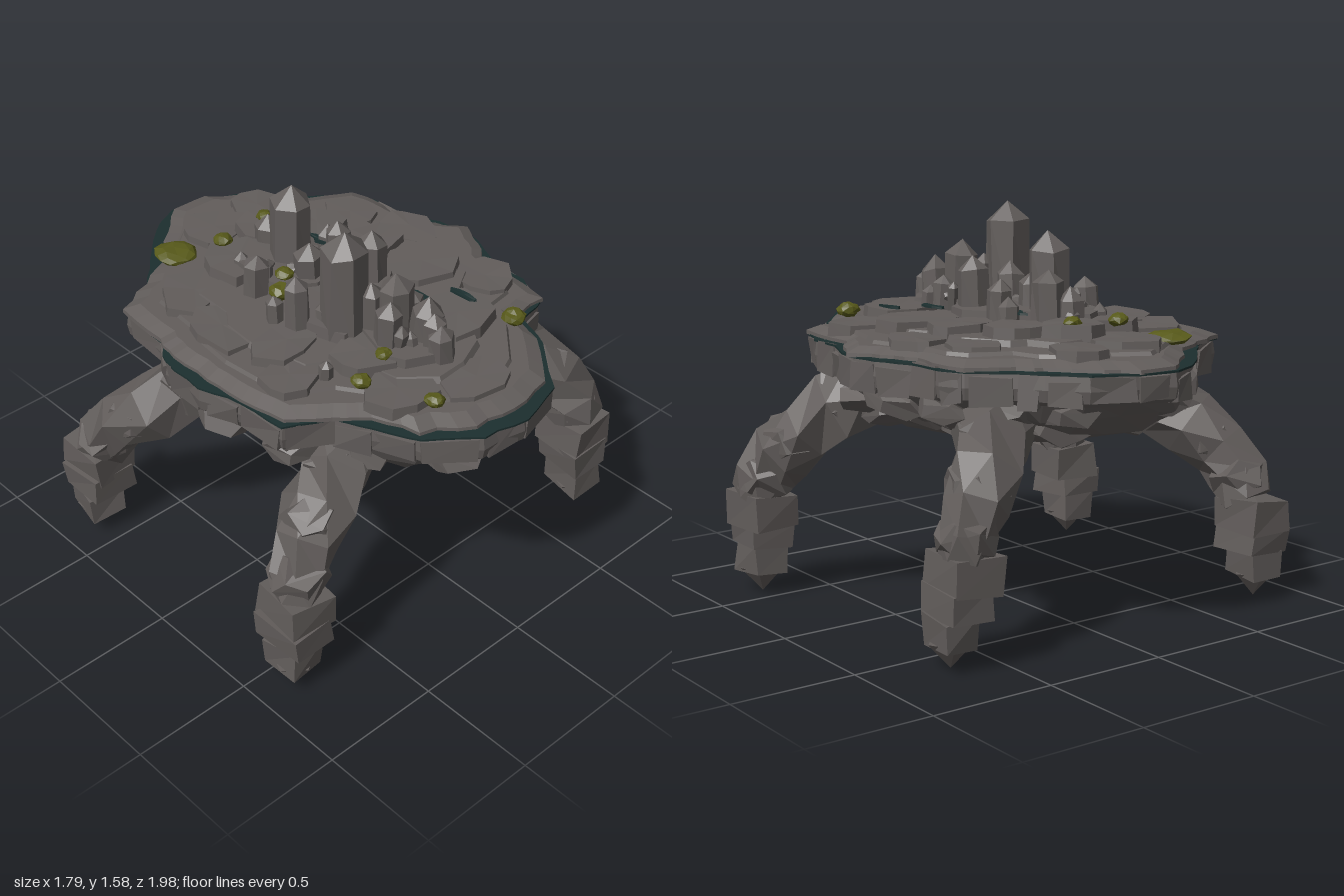
import * as THREE from 'three';

const mat = (color) => new THREE.MeshStandardMaterial({ color });
const V = (x, y, z) => new THREE.Vector3(x, y, z);

let seed = 7;
const rnd = (a = 0, b = 1) => {
  seed = (seed * 16807) % 2147483647;
  return a + (b - a) * (seed / 2147483647);
};

// Facet a geometry: every triangle gets its own normal
function facet(geo) {
  const g = geo.index ? geo.toNonIndexed() : geo;
  g.deleteAttribute('uv');
  g.computeVertexNormals();
  return g;
}

// Skin over rings of equal point count (counter-clockwise about the path), closed at both ends
function loft(rings) {
  const n = rings[0].length, pos = [];
  const tri = (...p) => p.forEach((v) => pos.push(v.x, v.y, v.z));
  const centre = (r) => r.reduce((s, p) => s.add(p), V(0, 0, 0)).divideScalar(n);
  const first = rings[0], last = rings[rings.length - 1];
  const c0 = centre(first), c1 = centre(last);
  for (let i = 0; i < n; i++) {
    const j = (i + 1) % n;
    for (let k = 0; k < rings.length - 1; k++) {
      const a = rings[k][i], b = rings[k][j], c = rings[k + 1][j], d = rings[k + 1][i];
      tri(a, b, d);
      tri(b, c, d);
    }
    tri(c0, first[j], first[i]);
    tri(c1, last[i], last[j]);
  }
  const g = new THREE.BufferGeometry();
  g.setAttribute('position', new THREE.Float32BufferAttribute(pos, 3));
  return facet(g);
}

// Push shared corners about by the same amount so the stone stays closed
function roughen(geo, amount) {
  const p = geo.attributes.position, moved = new Map();
  for (let i = 0; i < p.count; i++) {
    const key = [p.getX(i), p.getY(i), p.getZ(i)].map((v) => Math.round(v * 500) + 0).join();
    if (!moved.has(key)) moved.set(key, [0, 1, 2].map(() => rnd(-amount, amount)));
    const d = moved.get(key);
    p.setXYZ(i, p.getX(i) + d[0], p.getY(i) + d[1], p.getZ(i) + d[2]);
  }
  return facet(geo);
}

// Edge of the island as x, z and the share of bare moss there, from the back round by the left to the right
const EDGE = [
  [-0.08, -1, 0.02], [0.08, -0.97, 0], [0.24, -0.89, 0.05], [0.35, -0.77, 0.04], [0.42, -0.69, 0.05], [0.56, -0.56, 0],
  [0.61, -0.47, 0.03], [0.62, -0.31, 0.06], [0.69, -0.16, 0.05], [0.72, -0.04, 0], [0.69, 0.08, 0.03], [0.64, 0.21, 0.06],
  [0.63, 0.37, 0.04], [0.57, 0.52, 0], [0.43, 0.56, 0.06], [0.37, 0.72, 0.04], [0.19, 0.93, 0.03], [-0.02, 0.99, 0.05],
  [-0.21, 0.96, 0.06], [-0.39, 0.82, 0.04], [-0.47, 0.65, 0.06], [-0.54, 0.51, 0], [-0.71, 0.42, 0.04], [-0.72, 0.21, 0.01],
  [-0.78, 0.03, 0.05], [-0.77, -0.18, 0.05], [-0.7, -0.29, 0], [-0.68, -0.54, 0], [-0.51, -0.62, 0], [-0.39, -0.76, 0.06],
  [-0.23, -0.92, 0.06],
].reverse();

// Edge outline shrunk by s, with ragged variation, drawn back by the moss share where asked
function edgeRing(s, y, rough = 0, { yRough = 0, steps = 2, bare = 0 } = {}) {
  const ring = [];
  EDGE.forEach((a, i) => {
    const b = EDGE[(i + 1) % EDGE.length];
    for (let k = 0; k < steps; k++) {
      const t = k / steps, mix = (m) => a[m] + (b[m] - a[m]) * t;
      const f = s - bare * mix(2) + rnd(-rough, rough);
      ring.push(V(mix(0) * f, y + rnd(-yRough, yRough), mix(1) * f));
    }
  });
  return ring;
}
const raise = (ring, y, s = 1) => ring.map((p) => V(p.x * s, y, p.z * s));

export function createModel() {
  const root = new THREE.Group();
  const stone = mat(0x625d5b), darkMoss = mat(0x1c2f2f), moss = mat(0x585a1a);
  const group = (name) => {
    const g = new THREE.Group();
    g.name = name;
    root.add(g);
    return g;
  };
  const add = (parent, name, geo, material, at = [0, 0, 0], turn = [0, 0, 0]) => {
    const m = new THREE.Mesh(geo, material);
    m.name = name;
    m.position.set(...at);
    m.rotation.set(...turn);
    parent.add(m);
  };
  const boulder = (parent, at, sx, sy, sz) => {
    const g = new THREE.DodecahedronGeometry(1, 0).scale(sx, sy, sz);
    add(parent, 'boulder', roughen(g, 0.1 * Math.min(sx, sy, sz)), stone, at, [rnd(-0.4, 0.4), rnd(0, 6), rnd(-0.4, 0.4)]);
  };
  const block = (parent, name, at, w, h, d, turn, rough = 0.012) =>
    add(parent, name, roughen(new THREE.BoxGeometry(w, h, d), rough), stone, at, turn);

  // Rim of the island and stepped ground
  const island = group('island');
  const rim = edgeRing(0.985, 0.95, 0.012);
  add(island, 'rim', loft([raise(rim, 0.94, 0.97), raise(rim, 0.955, 0.99), raise(rim, 1.0), raise(rim, 1.055, 0.99)]), stone);
  const fringe = edgeRing(0.995, 1.055, 0.008, { steps: 3 });
  add(island, 'mossFringe', loft([raise(fringe, 1.055), raise(fringe, 1.063)]), darkMoss);
  const ground = edgeRing(1.004, 1.06, 0.012, { steps: 3, bare: 1.2 });
  add(island, 'groundStep', loft([ground, raise(ground, 1.076, 0.997), raise(ground, 1.098, 0.92)]), stone);
  [[0.85, 1.08, 1.112, 0.045], [0.65, 1.105, 1.135, 0.06]].forEach(([s, y0, y1, r]) => {
    const ring = edgeRing(s, y0, r, { steps: 1 });
    add(island, 'groundStep', loft([ring, raise(ring, y1, 0.97)]), stone);
  });

  // Masonry chunks along the rim
  EDGE.forEach(([x, z], i) => {
    const [x2, z2] = EDGE[(i + 1) % EDGE.length];
    const len = Math.hypot(x2 - x, z2 - z);
    block(island, 'rimBlock', [(x + x2) * 0.48, 0.995 + rnd(-0.015, 0.01), (z + z2) * 0.48],
      len * rnd(0.7, 1), rnd(0.09, 0.12), 0.05, [0, -Math.atan2(z2 - z, x2 - x), 0], 0.01);
  });

  // Craggy underside narrowing to a flat base
  const under = group('underside');
  add(under, 'underRock', loft([
    edgeRing(0.46, 0.725, 0.03, { yRough: 0.008, steps: 1 }), edgeRing(0.63, 0.765, 0.05, { yRough: 0.02, steps: 1 }),
    edgeRing(0.78, 0.815, 0.05, { yRough: 0.02, steps: 1 }), edgeRing(0.89, 0.88, 0.03, { yRough: 0.02, steps: 1 }),
    edgeRing(0.96, 0.96, 0.01, { steps: 1 })]), stone);
  [[0.8, 0.9, 15, 0.15], [0.66, 0.825, 12, 0.15], [0.5, 0.79, 9, 0.13]].forEach(([s, y, n, r]) => {
    for (let i = 0; i < n; i++) {
      const [x, z] = EDGE[Math.floor((i * EDGE.length) / n)];
      boulder(under, [x * s, y + rnd(-0.01, 0.01), z * s], r * rnd(0.85, 1.05), r * 0.5, r * rnd(0.85, 1.05));
    }
  });
  const spike = new THREE.ConeGeometry(0.17, 0.24, 5).rotateX(Math.PI).scale(0.8, 1, 1.2);
  add(under, 'hangingSpike', facet(spike), stone, [-0.03, 0.65, 0.13], [-0.1, 0.2, 0]);

  // Flat paving stones: x, z, half width, half depth, top height
  const paving = group('paving');
  const slab = (x, z, rx, rz, top, h, material, name, ragged = 0.18) => {
    const ring = [], n = 8;
    for (let i = 0; i < n; i++) {
      const a = ((i + rnd(-0.3, 0.3)) / n) * Math.PI * 2, f = rnd(1 - ragged, 1 + ragged);
      ring.push(V(x + Math.sin(a) * rx * f, top - h, z + Math.cos(a) * rz * f));
    }
    const upper = ring.map((p) => V(x + (p.x - x) * 0.95, top + rnd(-0.004, 0.004), z + (p.z - z) * 0.95));
    add(paving, name, loft([ring, upper]), material);
  };
  [[0.19, -0.37, 0.14, 0.12, 1.175], [0.27, -0.14, 0.14, 0.11, 1.165], [0.32, 0.09, 0.18, 0.14, 1.16],
    [0.16, 0.43, 0.16, 0.16, 1.155], [-0.52, -0.13, 0.13, 0.18, 1.13], [-0.42, 0.12, 0.15, 0.12, 1.15],
    [-0.1, -0.69, 0.15, 0.13, 1.14], [0.15, -0.7, 0.11, 0.13, 1.13], [-0.29, 0.6, 0.14, 0.13, 1.13],
    [0.4, -0.4, 0.12, 0.13, 1.13], [0.5, -0.15, 0.11, 0.13, 1.13], [0.47, 0.3, 0.12, 0.13, 1.13],
    [-0.02, 0.74, 0.16, 0.11, 1.12], [-0.53, 0.27, 0.13, 0.11, 1.13], [-0.44, -0.4, 0.15, 0.14, 1.13],
    [-0.2, -0.42, 0.17, 0.15, 1.175], [0.02, -0.5, 0.13, 0.11, 1.185], [-0.25, 0.38, 0.15, 0.13, 1.16],
  ].forEach(([x, z, rx, rz, top]) => slab(x, z, rx, rz, top, 0.06, stone, 'pavingStone'));
  [[-0.1, -0.22, 0.17, 0.22, 1.195], [-0.13, 0.1, 0.2, 0.2, 1.18], [-0.07, 0.42, 0.15, 0.2, 1.175], [0.07, -0.02, 0.11, 0.2, 1.19]]
    .forEach(([x, z, rx, rz, top]) => slab(x, z, rx, rz, top, 0.08, stone, 'ridgeStone', 0.2));
  // Dark moss in the joints
  [[0.14, 0.27, 0.025, 0.07, 1.168], [0.27, 0.38, 0.018, 0.07, 1.165], [0.1, 0.07, 0.035, 0.03, 1.2], [-0.02, 0.03, 0.05, 0.045, 1.2],
    [0.09, -0.25, 0.02, 0.05, 1.2], [-0.08, 0.17, 0.03, 0.04, 1.19]]
    .forEach(([x, z, rx, rz, top]) => slab(x, z, rx, rz, top, 0.009, darkMoss, 'jointMoss', 0.35));

  // Crystals: x, z, radius, tip height, lean
  const crystals = group('crystals');
  const crystal = (x, z, r, top, lean = 0.06) => {
    const h = top - 1.1, tip = Math.min(r * 0.85, h * 0.3);
    const pts = [[0, 0], [r * 1.02, 0], [r * 0.95, h - tip], [0, h]];
    const g = new THREE.LatheGeometry(pts.map(([a, b]) => new THREE.Vector2(a, b)), 6);
    add(crystals, 'crystal', roughen(g, r * 0.1), stone, [x, 1.1, z], [rnd(-lean, lean), rnd(0, 1), rnd(-lean, lean)]);
  };
  [[-0.2, 0.21, 0.09, 1.575, 0.01], [-0.06, -0.26, 0.088, 1.505, 0.02], [0.01, -0.34, 0.065, 1.37], [-0.07, 0.36, 0.068, 1.41],
    [-0.16, 0.4, 0.055, 1.35], [-0.03, 0.47, 0.07, 1.34], [-0.05, 0.58, 0.055, 1.28], [0.07, 0.06, 0.068, 1.39],
    [-0.32, 0.08, 0.05, 1.36], [-0.28, -0.22, 0.055, 1.31], [0.1, -0.15, 0.055, 1.32], [-0.05, -0.41, 0.055, 1.3],
    [-0.09, -0.11, 0.06, 1.33], [0.03, 0.34, 0.045, 1.28], [-0.11, 0.06, 0.06, 1.35], [-0.22, -0.37, 0.035, 1.22],
    [-0.43, 0.35, 0.03, 1.19], [0.13, -0.24, 0.045, 1.26], [-0.35, -0.02, 0.035, 1.24], [-0.13, 0.29, 0.05, 1.36],
    [-0.04, 0.53, 0.05, 1.31],
  ].forEach((c) => crystal(...c));
  for (let i = 0; i < 10; i++) crystal(-0.1 + rnd(-0.17, 0.2), rnd(-0.42, 0.55), rnd(0.025, 0.038), rnd(1.2, 1.27), 0.25);
  // Rubble round the crystals
  for (let i = 0; i < 12; i++) {
    const r = rnd(0.03, 0.045);
    boulder(crystals, [-0.08 + rnd(-0.18, 0.18), 1.19, rnd(-0.38, 0.5)], r, r * 0.9, r);
  }

  // Moss tufts: x, z, radius, height of centre
  const tufts = group('mossTufts');
  [[-0.32, -0.66, 0.09, 1.115], [-0.18, -0.53, 0.04, 1.18], [0.05, -0.54, 0.036, 1.19], [-0.18, -0.16, 0.038, 1.2],
    [-0.26, -0.09, 0.045, 1.19], [-0.38, 0.49, 0.04, 1.145], [-0.23, 0.45, 0.032, 1.17], [-0.25, 0.74, 0.038, 1.13],
    [0.34, 0.58, 0.048, 1.13],
  ].forEach(([x, z, r, y]) => {
    const g = new THREE.IcosahedronGeometry(r, 1).scale(1, r > 0.08 ? 0.3 : 0.65, 1);
    add(tufts, 'mossTuft', roughen(g, r * 0.1), moss, [x, y, z]);
  });

  // Legs: rough thigh tube following a path, then stacked shin blocks and a pointed foot
  const leg = (name, path, sx, sz, fx, fz) => {
    const g = group(name);
    const pts = new THREE.CatmullRomCurve3(path.map((p) => V(...p)));
    const rings = [], N = 6, K = 5;
    for (let k = 0; k <= K; k++) {
      const c = pts.getPoint(k / K), t = pts.getTangent(k / K), r = 0.165 - 0.06 * (k / K);
      const u = V(-t.z, 0, t.x).normalize(), v = t.clone().cross(u);
      const ring = [];
      for (let i = 0; i < N; i++) {
        const a = ((i + (k % 2) * 0.4) / N) * Math.PI * 2, f = r * rnd(0.82, 1.12);
        ring.push(c.clone().addScaledVector(u, Math.cos(a) * f).addScaledVector(v, Math.sin(a) * f));
      }
      rings.push(ring);
    }
    add(g, 'thigh', loft(rings), stone);
    [0.15, 0.5, 0.82].forEach((t) => {
      const p = pts.getPoint(t), r = 0.15 - 0.03 * t;
      boulder(g, [p.x, p.y, p.z], r, r * 0.85, r);
    });
    [[0.35, 0.14, 0.2], [0.25, 0.11, 0.185], [0.14, 0.12, 0.15]].forEach(([y, h, w], i) => {
      const f = i / 2;
      block(g, 'shinBlock', [sx + (fx - sx) * f, y, sz + (fz - sz) * f], w, h, w * 1.15, [0, rnd(-0.15, 0.15), rnd(-0.04, 0.04)]);
    });
    const foot = new THREE.ConeGeometry(0.09, 0.1, 5).rotateX(Math.PI);
    add(g, 'foot', facet(foot), stone, [fx, 0.05, fz], [0, rnd(0, 1), 0]);
  };
  leg('frontRightLeg', [[-0.4, 0.85, 0.42], [-0.58, 0.73, 0.5], [-0.74, 0.58, 0.56], [-0.79, 0.4, 0.57]], -0.79, 0.57, -0.82, 0.59);
  leg('backRightLeg', [[-0.48, 0.85, -0.22], [-0.65, 0.72, -0.35], [-0.77, 0.56, -0.53], [-0.79, 0.4, -0.63]], -0.79, -0.65, -0.82, -0.64);
  leg('frontLeftLeg', [[0.46, 0.85, 0.25], [0.62, 0.73, 0.37], [0.74, 0.56, 0.51], [0.79, 0.4, 0.58]], 0.76, 0.58, 0.76, 0.6);
  leg('backLeftLeg', [[0.35, 0.85, -0.46], [0.48, 0.73, -0.58], [0.61, 0.56, -0.66], [0.65, 0.4, -0.67]], 0.63, -0.66, 0.68, -0.64);
  return root;
}
